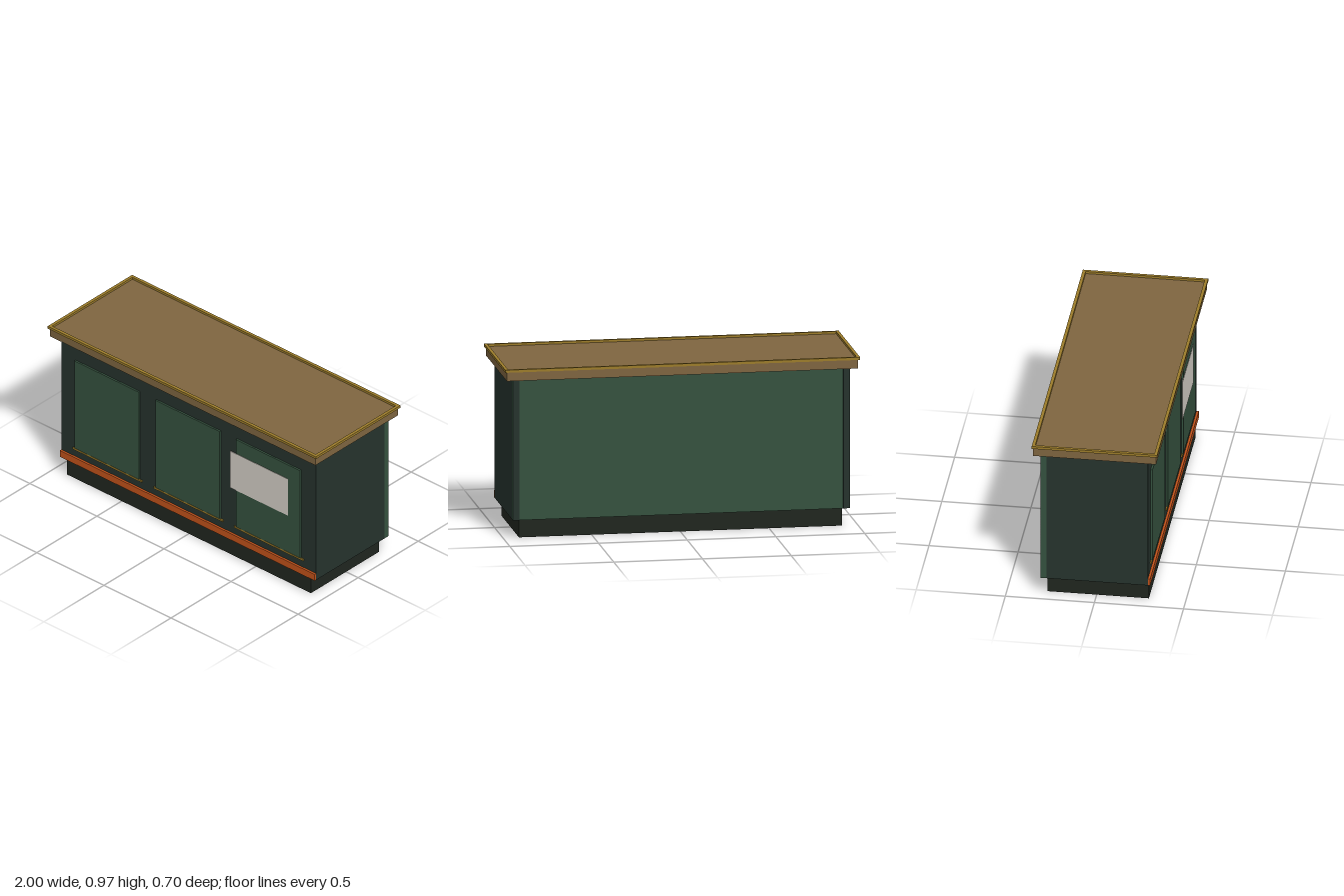
import * as THREE from 'three';

const mat = (color) => new THREE.MeshStandardMaterial({ color });

export function createModel() {
  const counter = new THREE.Group();
  counter.name = 'serviceCounter';
  const dark = mat(0x26332d), green = mat(0x35523f), black = mat(0x20261f);
  const wood = mat(0x7f6540), brass = mat(0x9c7c2a), orange = mat(0xc2521a), paper = mat(0xd5cfc7);

  // Box given by its min and max along each axis
  function box(name, material, [x0, x1], [y0, y1], [z0, z1]) {
    const mesh = new THREE.Mesh(new THREE.BoxGeometry(x1 - x0, y1 - y0, z1 - z0), material);
    mesh.position.set((x0 + x1) / 2, (y0 + y1) / 2, (z0 + z1) / 2);
    mesh.name = name;
    counter.add(mesh);
  }

  // Plinth and cabinet
  box('plinth', black, [-0.91, 0.91], [0, 0.105], [-0.275, 0.293]);
  box('cabinetBody', dark, [-0.95, 0.95], [0.105, 0.905], [-0.275, 0.293]);

  // Back panel with narrow dark stiles at its ends
  box('backPanel', green, [-0.95, 0.95], [0.105, 0.905], [-0.309, -0.275]);
  for (const s of [-1, 1]) {
    const ends = [s * 0.95, s * 0.912].sort((a, b) => a - b);
    box('backStile', dark, ends, [0.105, 0.905], [-0.31, -0.308]);
  }

  // Front panels, each with a brass strip below
  for (const x of [-0.603, 0, 0.6]) {
    box('frontPanel', green, [x - 0.24, x + 0.24], [0.208, 0.785], [0.293, 0.304]);
    box('brassStrip', brass, [x - 0.257, x + 0.257], [0.193, 0.204], [0.293, 0.301]);
  }

  // Kick band and notice sheet
  box('kickBand', orange, [-0.95, 0.95], [0.105, 0.147], [0.293, 0.306]);
  box('noticeSheet', paper, [0.32, 0.75], [0.45, 0.692], [0.301, 0.306]);

  // Worktop
  box('worktop', wood, [-0.99, 0.99], [0.905, 0.957], [-0.345, 0.345]);

  // Raised brass rim: rectangular frame
  const rect = (Type, w, d) => {
    const p = new Type();
    p.moveTo(-w, -d).lineTo(w, -d).lineTo(w, d).lineTo(-w, d).closePath();
    return p;
  };
  const frame = rect(THREE.Shape, 1, 0.352);
  frame.holes.push(rect(THREE.Path, 0.982, 0.334));
  const rim = new THREE.Mesh(
    new THREE.ExtrudeGeometry(frame, { depth: 0.015, bevelEnabled: false }).rotateX(-Math.PI / 2), brass);
  rim.position.y = 0.955;
  rim.name = 'brassRim';
  counter.add(rim);

  return counter;
}
